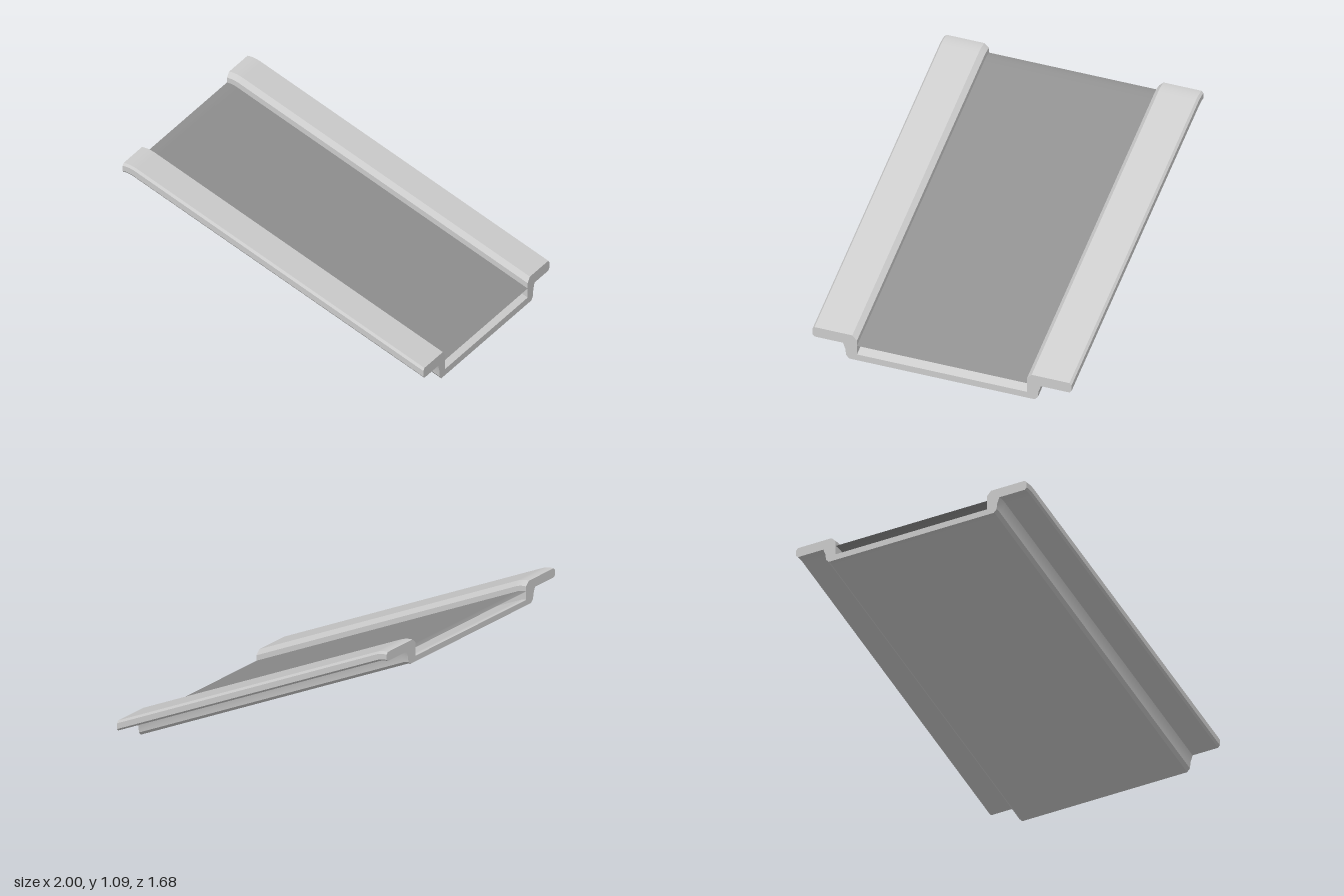
import * as THREE from 'three';
import { toCreasedNormals } from 'three/addons/utils/BufferGeometryUtils.js';

const SLOPE = 0.473, ROWS = 24;

// Height at x of a surface lying h above the underside at the low end:
// a straight incline that eases to level at the high end.
function heightAt(x, h) {
  const bend = 3 - 2 * (0.94 - 0.091 * h) / SLOPE;
  if (x >= bend) return h + SLOPE * (1 - x);
  const d = bend - x, span = bend + 1;
  return h + SLOPE * (1 - bend) + SLOPE * (d - d * d / (2 * span));
}

// Lays a straight strip (x from -1 to 1) along the incline, half its rows in the bend.
function layOnIncline(geometry) {
  const p = geometry.attributes.position;
  for (let i = 0; i < p.count; i++) {
    const t = (p.getX(i) + 1) / 2;
    const x = t < 0.5 ? -1 + 0.24 * t : -0.88 + 3.76 * (t - 0.5);
    p.setXYZ(i, x, heightAt(x, p.getY(i)), p.getZ(i));
  }
  const result = toCreasedNormals(geometry, 0.38);
  return result;
}

export function createModel() {
  const group = new THREE.Group();
  group.name = 'inclinedTrough';

  // Trough: mirrored section with chamfered side flanges
  const half = [
    [0.60, 0], [0.62, 0.02], [0.625, 0.06], [0.64, 0.10],
    [0.825, 0.10], [0.838, 0.113], [0.838, 0.15], [0.825, 0.165],
    [0.58, 0.165], [0.55, 0.135], [0.55, 0.04],
  ];
  const mirrored = half.map(([z, y]) => [-z, y]).reverse();
  const section = new THREE.Shape([...half, ...mirrored].map(([z, y]) => new THREE.Vector2(z, y)));
  const troughGeometry = new THREE.ExtrudeGeometry(section, { depth: 2, steps: ROWS, bevelEnabled: false });
  troughGeometry.rotateY(Math.PI / 2).translate(-1, 0, 0);
  const trough = new THREE.Mesh(
    layOnIncline(troughGeometry),
    new THREE.MeshStandardMaterial({ color: 0xcccccc }));
  trough.name = 'trough';
  group.add(trough);

  // Belt: thin dark sheet held above the trough floor
  const beltGeometry = new THREE.PlaneGeometry(2, 1.1, ROWS, 1);
  beltGeometry.rotateX(-Math.PI / 2).translate(0, 0.1, 0);
  const belt = new THREE.Mesh(
    layOnIncline(beltGeometry),
    new THREE.MeshStandardMaterial({ color: 0x8f8f8f, side: THREE.DoubleSide }));
  belt.name = 'belt';
  group.add(belt);

  return group;
}
